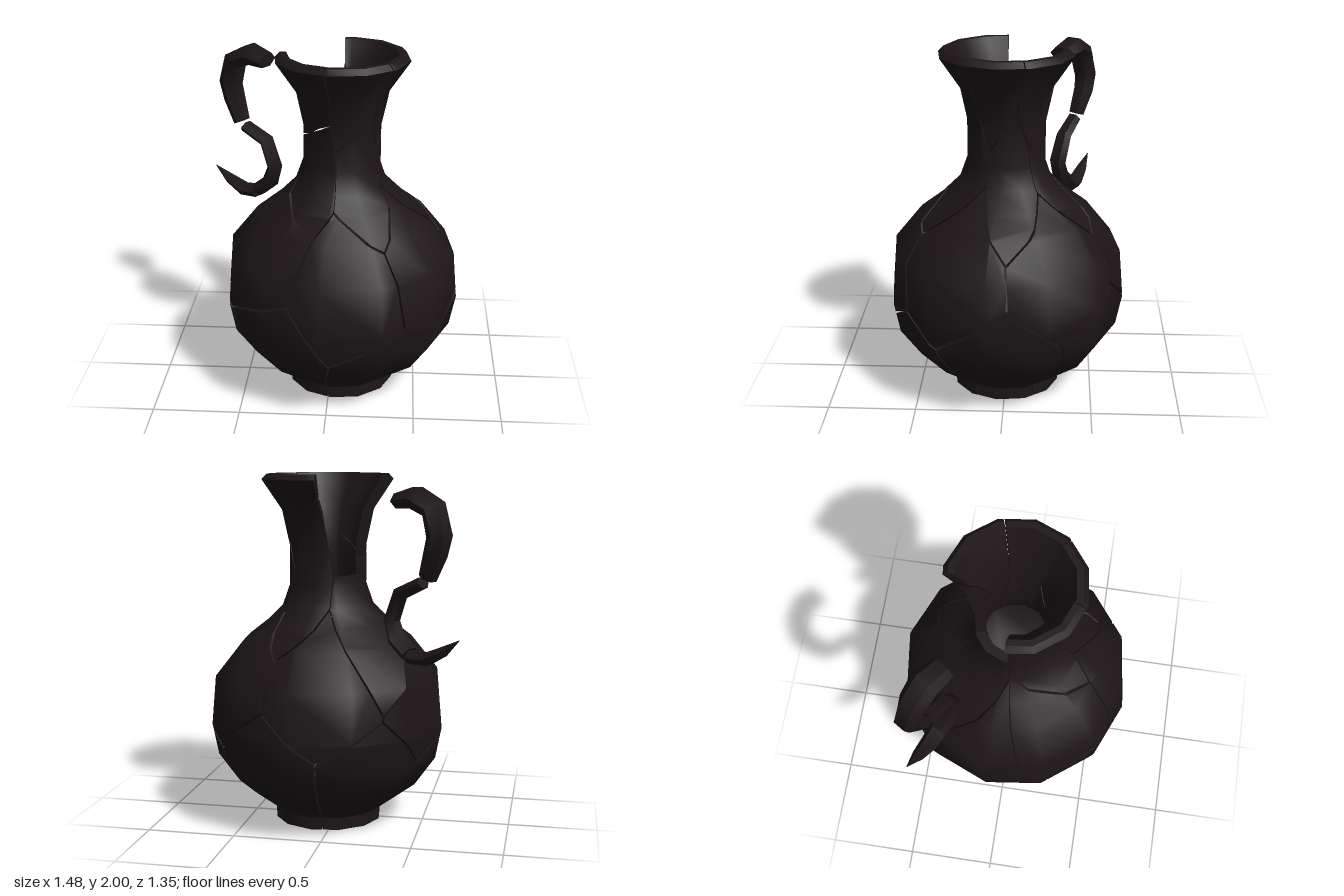
import * as THREE from 'three';
import { toCreasedNormals } from 'three/addons/utils/BufferGeometryUtils.js';

const SIDES = 12, STEP = Math.PI / 6, TURN = THREE.MathUtils.degToRad(7.6);
const CX = 0.06;      // axis of the jug
const SCALE = 0.35;   // width of one facet when cracks are measured
const GAP = 0.006;    // half width of a crack

// Wall levels: height, outer radius, inner radius
const WALL = [
  [0, 0.31, 0.25], [0.07, 0.31, 0.25], [0.23, 0.525, 0.45], [0.4, 0.645, 0.58],
  [0.58, 0.68, 0.62], [0.86, 0.655, 0.59], [1.06, 0.495, 0.42], [1.16, 0.365, 0.29],
  [1.26, 0.265, 0.2], [1.38, 0.222, 0.165], [1.6, 0.222, 0.162], [1.8, 0.265, 0.205],
  [1.97, 0.38, 0.3], [2, 0.35, 0.315],
];

// Shard centres: angle in degrees, height
const SHARDS = [
  [30, 0.85], [325, 0.87], [0, 0.3], [85, 0.75], [140, 0.92], [125, 0.4], [200, 0.75],
  [260, 0.85], [235, 0.33], [295, 0.33], [65, 0.22], [180, 0.3],
  [350, 1.33], [60, 1.4], [130, 1.38], [225, 1.08], [290, 1.4],
  [10, 1.85], [70, 1.8], [135, 1.82], [315, 1.84], [225, 1.8],
].map(([deg, y]) => [(deg - 7.6) / 30, y]);
const MISSING = SHARDS.length - 1; // the piece lost from the rim

const material = new THREE.MeshStandardMaterial({ color: 0x1c1517, side: THREE.DoubleSide });

function addMesh(parent, geometry, name) {
  const mesh = new THREE.Mesh(geometry, material);
  mesh.name = name;
  parent.add(mesh);
}

function fromTriangles(points) {
  const geometry = new THREE.BufferGeometry().setFromPoints(points);
  return toCreasedNormals(geometry, 0.75);
}

// Fan a convex loop of points into triangles
function fan(out, loop) {
  for (let i = 1; i < loop.length - 1; i++) out.push(loop[0], loop[i], loop[i + 1]);
}

// Point on the faceted wall; layer 1 is outside, 2 inside
function wallPoint([u, y], layer) {
  let j = 0;
  while (j < WALL.length - 2 && y > WALL[j + 1][0]) j++;
  const t = (y - WALL[j][0]) / (WALL[j + 1][0] - WALL[j][0]);
  const r = THREE.MathUtils.lerp(WALL[j][layer], WALL[j + 1][layer], t);
  const k = Math.floor(u + 1e-6), f = u - k;
  const a = TURN + k * STEP, b = a + STEP;
  return new THREE.Vector3(
    CX + r * ((1 - f) * Math.cos(a) + f * Math.cos(b)), y,
    r * ((1 - f) * Math.sin(a) + f * Math.sin(b)));
}

// Keep the part of a loop where side(p) <= 0
function clip(loop, side) {
  const out = [];
  loop.forEach((p, i) => {
    const q = loop[(i + 1) % loop.length], a = side(p), b = side(q);
    if (a <= 0) out.push(p);
    if ((a < 0 && b > 0) || (a > 0 && b < 0)) {
      const t = a / (a - b);
      out.push([p[0] + (q[0] - p[0]) * t, p[1] + (q[1] - p[1]) * t]);
    }
  });
  return out;
}

// One shard: every wall facet cut halfway to the neighbouring shard centres
function shardGeometry(index) {
  const [su, sy] = SHARDS[index];
  const cuts = [];
  SHARDS.forEach(([u, y], k) => {
    for (const wrap of [-SIDES, 0, SIDES]) {
      if (k === index && wrap === 0) continue;
      const dx = (u + wrap - su) * SCALE, dy = y - sy, d = Math.hypot(dx, dy);
      cuts.push((p) => ((p[0] - su) * SCALE * dx + (p[1] - sy) * dy) / d - d / 2 + GAP);
    }
  });
  const near = (a, b) => Math.abs(a - b) < 1e-6;
  const out = [];
  for (let i = 0; i < SIDES; i++) {
    const u = i + SIDES * Math.round((su - i - 0.5) / SIDES);
    for (let j = 0; j < WALL.length - 1; j++) {
      const y0 = WALL[j][0], y1 = WALL[j + 1][0];
      let loop = [[u, y0], [u, y1], [u + 1, y1], [u + 1, y0]];
      for (const cut of cuts) loop = clip(loop, cut);
      if (loop.length < 3) continue;
      const outer = loop.map((p) => wallPoint(p, 1));
      const inner = loop.map((p) => wallPoint(p, 2));
      fan(out, outer);
      fan(out, [...inner].reverse());
      // Close the broken edges, the rim and the foot
      loop.forEach((p, a) => {
        const b = (a + 1) % loop.length, q = loop[b];
        const seamU = near(p[0], q[0]) && (near(p[0], u) || near(p[0], u + 1));
        const seamY = near(p[1], q[1]) && ((near(p[1], y0) && j > 0)
          || (near(p[1], y1) && j < WALL.length - 2));
        if (!seamU && !seamY) fan(out, [outer[b], outer[a], inner[a], inner[b]]);
      });
    }
  }
  return fromTriangles(out);
}

// Half of the cracked floor
function floorGeometry(sign) {
  const r = 0.255, mid = r * Math.cos(STEP / 2), shape = [];
  const start = TURN + STEP * 2.5 + (sign > 0 ? Math.PI : 0);
  const add = (radius, a) => shape.push(new THREE.Vector2(radius * Math.cos(a), radius * Math.sin(a)));
  add(mid, start);
  for (let k = 0; k < 6; k++) add(r, start + (k + 0.5) * STEP);
  add(mid, start + Math.PI);
  const geometry = new THREE.ExtrudeGeometry(new THREE.Shape(shape), { depth: 0.05, bevelEnabled: false });
  return geometry.rotateX(Math.PI / 2).translate(CX + sign * 0.007, 0.05, 0);
}

// Handle piece: a six-sided bar through [x, y, z, half width, half thickness]
function barGeometry(path) {
  const across = new THREE.Vector3(-0.54, 0, 0.84).normalize();
  const points = path.map((p) => new THREE.Vector3(p[0], p[1], p[2]));
  const rings = points.map((p, i) => {
    const tangent = points[Math.min(i + 1, points.length - 1)].clone()
      .sub(points[Math.max(i - 1, 0)]).normalize();
    const normal = tangent.cross(across).normalize();
    return Array.from({ length: 6 }, (_, k) => p.clone()
      .addScaledVector(across, path[i][3] * Math.cos(k * Math.PI / 3))
      .addScaledVector(normal, path[i][4] * Math.sin(k * Math.PI / 3)));
  });
  const out = [];
  fan(out, [...rings[0]].reverse());
  for (let i = 0; i < rings.length - 1; i++) {
    for (let k = 0; k < 6; k++) {
      const m = (k + 1) % 6;
      fan(out, [rings[i][k], rings[i][m], rings[i + 1][m], rings[i + 1][k]]);
    }
  }
  fan(out, rings[rings.length - 1]);
  return fromTriangles(out);
}

export function createModel() {
  const model = new THREE.Group();
  model.name = 'brokenJug';

  // Body and neck shards
  SHARDS.forEach(([, y], i) => {
    if (i !== MISSING) addMesh(model, shardGeometry(i), y > 1.2 ? 'neckShard' : 'bodyShard');
  });

  // Floor in two halves
  for (const sign of [-1, 1]) addMesh(model, floorGeometry(sign), 'floorHalf');

  // Handle in three pieces
  const handle = new THREE.Group();
  handle.name = 'handle';
  model.add(handle);
  addMesh(handle, barGeometry([
    [-0.39, 1.865, -0.3, 0.075, 0.045], [-0.49, 1.885, -0.37, 0.085, 0.065],
    [-0.59, 1.83, -0.42, 0.08, 0.065], [-0.625, 1.69, -0.45, 0.07, 0.07],
    [-0.605, 1.6, -0.44, 0.065, 0.065], [-0.56, 1.465, -0.4, 0.05, 0.05],
  ]), 'upperHandle');
  addMesh(handle, barGeometry([
    [-0.535, 1.44, -0.385, 0.045, 0.035], [-0.405, 1.37, -0.325, 0.05, 0.04],
    [-0.355, 1.22, -0.29, 0.055, 0.04], [-0.385, 1.12, -0.31, 0.06, 0.045],
    [-0.46, 1.05, -0.355, 0.06, 0.045],
  ]), 'lowerHandle');
  addMesh(handle, barGeometry([
    [-0.47, 1.035, -0.36, 0.055, 0.04], [-0.56, 1.03, -0.4, 0.05, 0.04],
    [-0.65, 1.08, -0.44, 0.035, 0.03], [-0.74, 1.15, -0.48, 0.002, 0.002],
  ]), 'handleSpike');

  return model;
}
